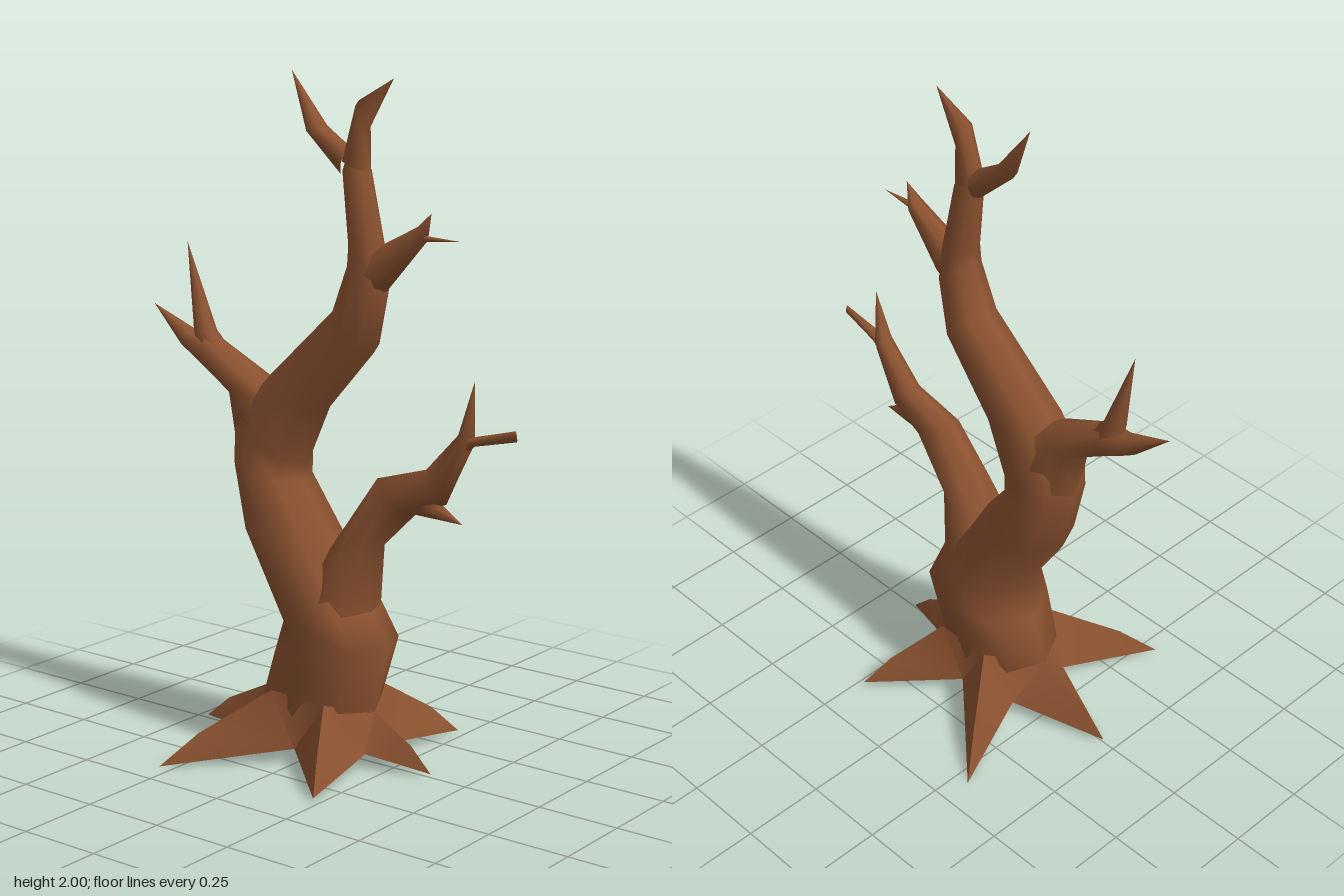
import * as THREE from 'three';
import { toCreasedNormals } from 'three/addons/utils/BufferGeometryUtils.js';

const bark = new THREE.MeshStandardMaterial({ color: 0x8b5230 });
bark.name = 'bark';

const SIDES = 8;

// Loft through sections [leftX, leftY, rightX, rightY, halfDepth]; tip is [x, y]
function limb(name, sections) {
  const pos = [], index = [];
  sections.forEach((s, i) => {
    const [lx, ly, rx = lx, ry = ly, d = 0] = s;
    for (let j = 0; j < SIDES; j++) {
      const a = (j / SIDES) * Math.PI * 2, c = Math.cos(a) / 2;
      pos.push((lx + rx) / 2 + (rx - lx) * c, (ly + ry) / 2 + (ry - ly) * c, d * Math.sin(a));
      if (i === sections.length - 1) continue;
      const k = i * SIDES, n = (j + 1) % SIDES;
      index.push(k + j, k + SIDES + j, k + SIDES + n, k + j, k + SIDES + n, k + n);
    }
  });
  const geo = new THREE.BufferGeometry();
  geo.setAttribute('position', new THREE.Float32BufferAttribute(pos, 3));
  geo.setIndex(index);
  geo.computeVertexNormals();
  const mesh = new THREE.Mesh(geo, bark);
  mesh.name = name;
  return mesh;
}

// Star of six pointed roots around the trunk foot
function roots() {
  const v = (x, y, z) => new THREE.Vector3(x, y, z);
  // ridge start on the trunk, tip, then the valley that follows, going from +x towards +z
  const star = [
    [v(0.18, 0.16, 0), v(0.38, 0.015, 0), v(0.19, 0.05, 0.06)],
    [v(0.10, 0.2, 0.14), v(0.23, 0.015, 0.355), v(0, 0.05, 0.15)],
    [v(-0.09, 0.21, 0.145), v(-0.295, 0.005, 0.41), v(-0.18, 0.05, 0.11)],
    [v(-0.21, 0.17, 0), v(-0.46, 0.015, 0), v(-0.18, 0.05, -0.11)],
    [v(-0.09, 0.21, -0.145), v(-0.295, 0.005, -0.41), v(0, 0.05, -0.15)],
    [v(0.10, 0.2, -0.14), v(0.23, 0.015, -0.355), v(0.19, 0.05, -0.06)],
  ];
  const centre = v(0, 0.06, 0), pts = [];
  star.forEach(([ridge, tip, next], i) => {
    const prev = star[(i + 5) % 6][2], nextRidge = star[(i + 1) % 6][0];
    const mid = ridge.clone().lerp(tip, 0.65);
    mid.y += 0.02;
    pts.push(
      ridge, mid, prev, mid, tip, prev,
      ridge, next, mid, mid, next, tip,
      ridge, nextRidge, next,
      centre, prev, tip, centre, tip, next,
    );
  });
  const geo = new THREE.BufferGeometry().setFromPoints(pts);
  const mesh = new THREE.Mesh(toCreasedNormals(geo, 0.9), bark);
  mesh.name = 'roots';
  return mesh;
}

export function createModel() {
  const tree = new THREE.Group();
  tree.name = 'bareTree';
  tree.add(
    roots(),
    // Trunk leaning left, then sweeping up to the right
    limb('trunk', [
      [-0.17, 0.06, 0.17, 0.06, 0.13],
      [-0.21, 0.17, 0.18, 0.16, 0.15],
      [-0.155, 0.31, 0.235, 0.37, 0.167],
      [-0.11, 0.41, 0.165, 0.46, 0.158],
      [-0.27, 0.67, 0.04, 0.645, 0.135],
      [-0.31, 0.87, -0.08, 0.81, 0.117],
      [-0.31, 0.97, -0.075, 0.87, 0.11],
      [-0.22, 1.1, 0, 1.03, 0.096],
      [0.04, 1.34, 0.17, 1.22, 0.075],
      [0.09, 1.48, 0.21, 1.39, 0.06],
      [0.092, 1.53, 0.2, 1.5, 0.053],
      [0.065, 1.73, 0.155, 1.73, 0.037],
      [0.08, 1.77, 0.13, 1.77, 0.025],
    ]),
    // Crown twigs
    limb('crownTwigLeft', [
      [0.067, 1.71, 0.09, 1.79, 0.036],
      [-0.06, 1.83, -0.005, 1.85, 0.033],
      [-0.122, 2.0],
    ]),
    limb('crownTwigRight', [
      [0.063, 1.76, 0.153, 1.73, 0.036],
      [0.115, 1.925, 0.145, 1.84, 0.03],
      [0.235, 1.99],
    ]),
    // Upper right twig with two points
    limb('upperTwig', [
      [0.14, 1.5, 0.19, 1.39, 0.05],
      [0.2, 1.53, 0.215, 1.4, 0.045],
      [0.32, 1.59, 0.345, 1.545, 0.025],
      [0.365, 1.63],
    ]),
    limb('upperTwigPoint', [
      [0.3, 1.575, 0.31, 1.53, 0.02],
      [0.345, 1.567, 0.345, 1.55, 0.012],
      [0.46, 1.56],
    ]),
    // Left branch with two points
    limb('leftBranch', [
      [-0.31, 0.88, -0.12, 1.05, 0.09],
      [-0.335, 1.05, -0.22, 1.1, 0.077],
      [-0.46, 1.12, -0.42, 1.21, 0.05],
      [-0.535, 1.165, -0.485, 1.21, 0.036],
      [-0.655, 1.28],
    ]),
    limb('leftBranchPoint', [
      [-0.47, 1.14, -0.36, 1.16, 0.045],
      [-0.487, 1.22, -0.42, 1.22, 0.035],
      [-0.52, 1.48],
    ]),
    // Right branch with three twigs
    limb('rightBranch', [
      [-0.06, 0.45, 0.165, 0.46, 0.13],
      [0.04, 0.645, 0.19, 0.65, 0.085],
      [0.185, 0.86, 0.32, 0.775, 0.055],
      [0.355, 0.91, 0.425, 0.82, 0.04],
      [0.468, 1.03, 0.512, 1.0, 0.028],
      [0.515, 1.18],
    ]),
    limb('rightBranchSideTwig', [
      [0.47, 1.02, 0.49, 0.97, 0.025],
      [0.515, 1.025, 0.515, 0.998, 0.02],
      [0.65, 1.06, 0.655, 1.03, 0.004],
      [0.655, 1.045],
    ]),
    limb('rightBranchLowTwig', [
      [0.41, 0.85, 0.3, 0.79, 0.035],
      [0.41, 0.815, 0.32, 0.775, 0.03],
      [0.48, 0.77],
    ]),
  );
  return tree;
}
